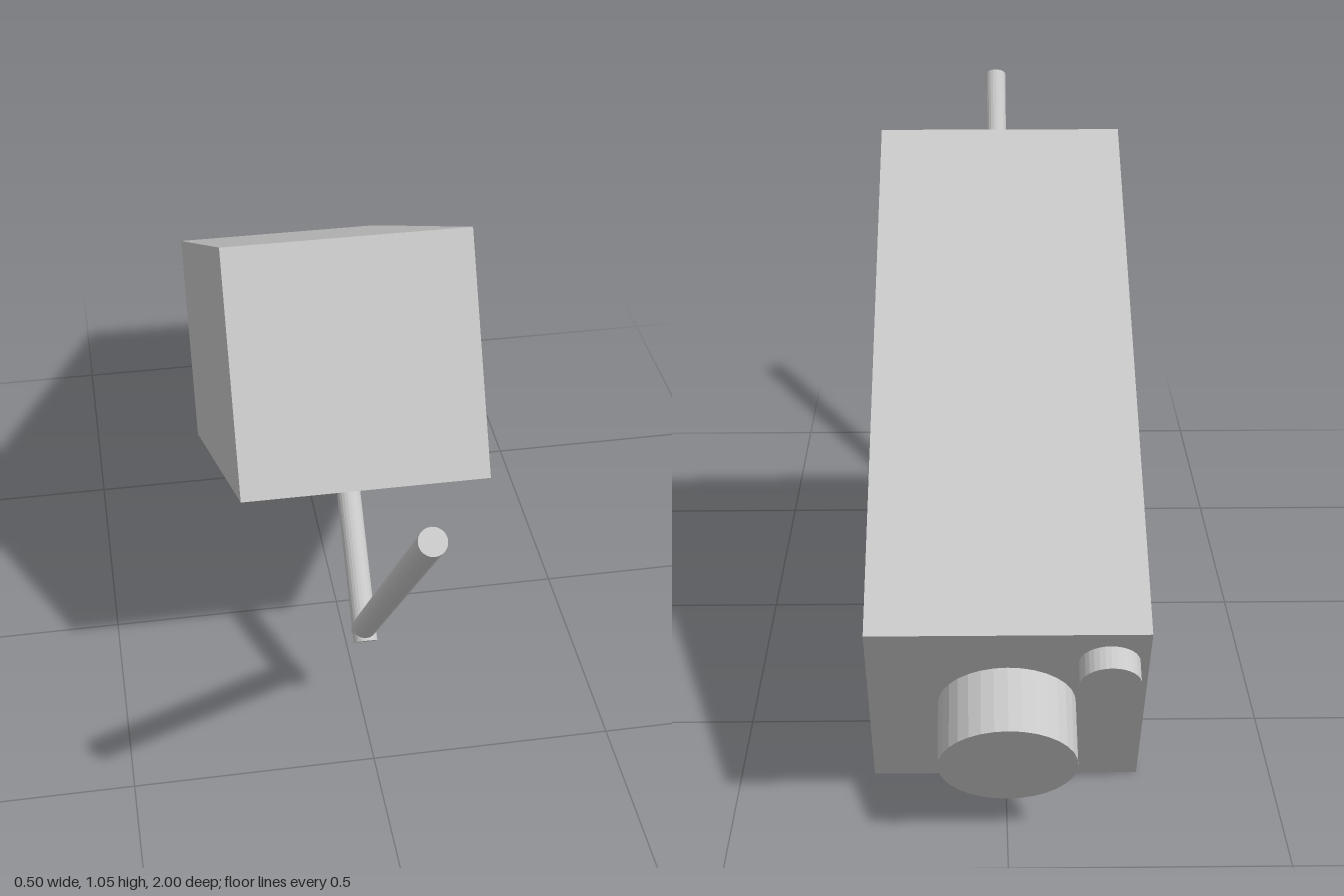
import * as THREE from 'three';

export function createModel() {
  const model = new THREE.Group();
  const grey = new THREE.MeshStandardMaterial({ color: 0xc8c8c8, flatShading: true });
  grey.name = 'light grey';

  const add = (parent, name, geometry, x, y, z) => {
    const mesh = new THREE.Mesh(geometry, grey);
    mesh.name = name;
    mesh.position.set(x, y, z);
    parent.add(mesh);
    return mesh;
  };

  // Tilted camera head: its lens end points down and back
  const W = 0.496, H = 0.494, L = 1.238;
  const head = new THREE.Group();
  head.name = 'cameraHead';
  head.position.set(0, 0.528, -0.28);
  head.rotation.x = -Math.PI / 6;
  model.add(head);
  add(head, 'housing', new THREE.BoxGeometry(W, H, L), 0, 0, 0);

  // Round fittings on the back face
  const fitting = (name, radius, depth, x, y) => {
    const geometry = new THREE.CylinderGeometry(radius, radius, depth, 32).rotateX(Math.PI / 2);
    add(head, name, geometry, x, y, -(L + depth) / 2);
  };
  fitting('lens', 0.124, 0.125, 0, 0.017);
  fitting('sensor', 0.054, 0.044, -0.178, 0.156);

  // Bracket rods in the middle plane, given as [y, z] end points
  const rod = (name, [y0, z0], [y1, z1]) => {
    const from = new THREE.Vector3(0, y0, z0);
    const to = new THREE.Vector3(0, y1, z1);
    const dir = to.clone().sub(from);
    const geometry = new THREE.CylinderGeometry(0.0248, 0.0248, dir.length(), 24);
    const mid = from.add(to).multiplyScalar(0.5);
    const mesh = add(model, name, geometry, mid.x, mid.y, mid.z);
    mesh.quaternion.setFromUnitVectors(new THREE.Vector3(0, 1, 0), dir.normalize());
  };
  rod('longArm', [0.236, 0.353], [0.986, 0.982]);
  rod('shortArm', [0.23, 0.385], [0.58, 0.035]);

  return model;
}
